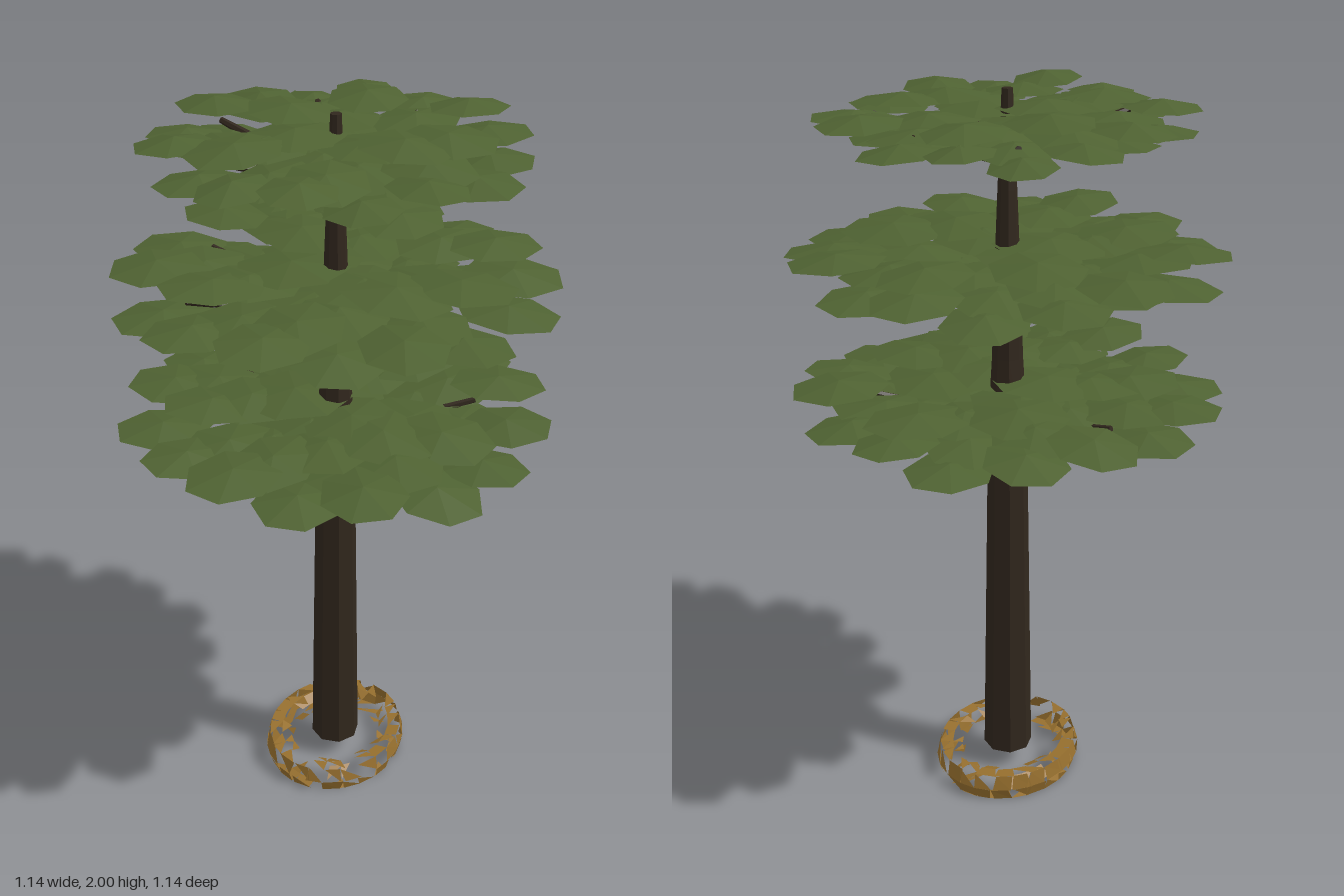
import * as THREE from 'three';

const mat = (name, color, side = THREE.FrontSide) => {
  const m = new THREE.MeshStandardMaterial({ color, side, flatShading: true });
  m.name = name;
  return m;
};

// Small seeded generator for natural variation
function seeded(seed) {
  return () => {
    seed = (seed * 16807) % 2147483647;
    return seed / 2147483647;
  };
}

export function createModel() {
  const bark = mat('bark', 0x31271d);
  const needles = mat('foliage green', 0x4f6232, THREE.DoubleSide);
  const litter = mat('dry leaf brown', 0x966f2e, THREE.DoubleSide);
  const rand = seeded(4217);
  const vary = (a) => (rand() * 2 - 1) * a;

  const tree = new THREE.Group();
  tree.name = 'tree';
  const add = (parent, name, geometry, material) => {
    const mesh = new THREE.Mesh(geometry, material);
    mesh.name = name;
    parent.add(mesh);
    return mesh;
  };

  // Tapered eight-sided trunk
  const profile = [[0.07, 0.066], [0.053, 1.1], [0.041, 1.3], [0.036, 1.48], [0.025, 1.75], [0.014, 2], [0, 2]];
  add(tree, 'trunk', new THREE.LatheGeometry(profile.map(([r, y]) => new THREE.Vector2(r, y)), 8), bark);

  // Tapered branch between two points
  const up = new THREE.Vector3(0, 1, 0);
  function branch(parent, from, to, r0, r1) {
    const dir = to.clone().sub(from);
    const mesh = add(parent, 'branch', new THREE.CylinderGeometry(r1, r0, dir.length(), 6), bark);
    mesh.position.copy(from).add(to).multiplyScalar(0.5);
    mesh.quaternion.setFromUnitVectors(up, dir.normalize());
  }

  // Shallow seven-sided leaf pad with a flat outer edge
  const pad = new THREE.ConeGeometry(1, 1, 7, 1, true, Math.PI / 2 - Math.PI / 7);

  // Foliage tiers: branch base height, canopy height, outer radius, branch count, first angle
  const tiers = [
    [1.1, 1.21, 0.57, 8, 3.06],
    [1.48, 1.588, 0.565, 7, 2.36],
    [1.82, 1.935, 0.48, 7, 5.03],
  ];
  // Pad rings: radius share, pad size share, number
  const rings = [[0.79, 0.19, 16], [0.58, 0.21, 13], [0.39, 0.22, 9], [0.2, 0.23, 6]];
  tiers.forEach(([base, height, radius, count, start], level) => {
    const tier = new THREE.Group();
    tier.name = 'foliageTier';
    tree.add(tier);

    // Branches spread up and outward under the leaves
    for (let i = 0; i < count; i++) {
      const a = start + (i / count) * Math.PI * 2;
      const reach = radius * (0.67 + vary(0.04));
      branch(tier, new THREE.Vector3(0, base + 0.004, 0),
        new THREE.Vector3(Math.cos(a) * reach, height - 0.008, -Math.sin(a) * reach), 0.02, 0.008);
    }

    // Rings of overlapping pads, longer outward than across, staggered in height
    rings.forEach(([share, size, number], ringIndex) => {
      const turn = level * 0.2 + ringIndex * 0.5;
      for (let i = 0; i < number; i++) {
        const a = turn + ((i + vary(0.1)) / number) * Math.PI * 2;
        const r = radius * share + vary(0.008);
        const leaf = add(tier, 'leafPad', pad, needles);
        const s = radius * size * (1 + vary(0.07));
        leaf.scale.set(s * 1.2, 0.022, s);
        leaf.position.set(Math.cos(a) * r, height + ((i * 2) % 5 - 2) * 0.013 + vary(0.008), -Math.sin(a) * r);
        leaf.rotation.set(vary(0.06), a, vary(0.07), 'YXZ');
      }
    });
  });

  // Broken, rounded ring of dry leaves around the foot of the trunk
  const positions = [];
  const steps = 24;
  // Cross-section as scale and height, from inner floor round the outside to inner top
  const section = [[0.62, 0.03], [0.8, 0.01], [0.95, 0.004], [1, 0.04], [0.95, 0.082], [0.78, 0.08], [0.64, 0.065]];
  const keep = [0.25, 0.5, 0.7, 0.75, 0.55, 0.3];
  const point = (i, [scale, y]) => {
    const a = (i / steps) * Math.PI * 2;
    return [Math.cos(a) * 0.2 * scale, y, Math.sin(a) * 0.225 * scale];
  };
  const tri = (a, b, c) => positions.push(...a, ...b, ...c);
  for (let i = 0; i < steps; i++) {
    keep.forEach((chance, j) => {
      const a = point(i + vary(0.2), section[j]);
      const b = point(i + 1 + vary(0.2), section[j]);
      const c = point(i + 1 + vary(0.2), section[j + 1]);
      const d = point(i + vary(0.2), section[j + 1]);
      if (rand() < chance) tri(a, d, c);
      if (rand() < chance) tri(a, c, b);
    });
  }
  const ring = new THREE.BufferGeometry();
  ring.setAttribute('position', new THREE.Float32BufferAttribute(positions, 3));
  ring.computeVertexNormals();
  add(tree, 'leafLitterRing', ring, litter);

  return tree;
}
